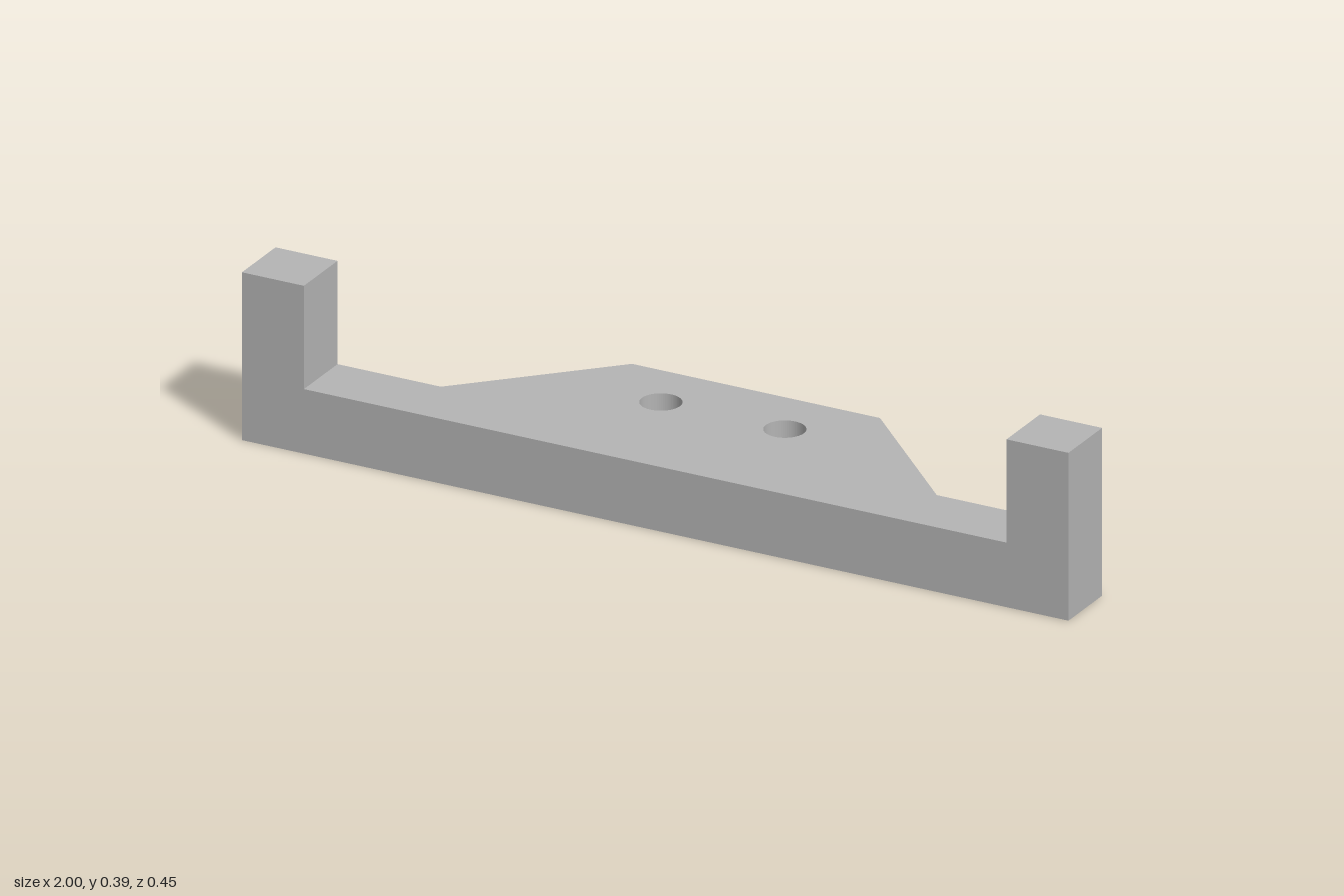
import * as THREE from 'three';

export function createModel() {
  const model = new THREE.Group();
  model.name = 'bracket';
  const grey = new THREE.MeshStandardMaterial({ name: 'plain grey', color: 0xb4b4b4 });

  const thickness = 0.15, height = 0.39, postSize = 0.15;
  const front = 0.225, barBack = 0.075;

  // Base plan, drawn with shape y pointing to the back
  const plan = new THREE.Shape([
    [-1, -front], [1, -front], [1, -barBack], [0.6, -barBack],
    [0.3, front], [-0.3, front], [-0.6, -barBack], [-1, -barBack],
  ].map(([x, y]) => new THREE.Vector2(x, y)));

  // Two screw holes through the rear tab
  for (const side of [-1, 1]) {
    plan.holes.push(new THREE.Path().absarc(side * 0.15, 0.077, 0.046, 0, Math.PI * 2, true));
  }

  const baseGeometry = new THREE.ExtrudeGeometry(plan, {
    depth: thickness, bevelEnabled: false, curveSegments: 32,
  });
  baseGeometry.rotateX(-Math.PI / 2);
  const base = new THREE.Mesh(baseGeometry, grey);
  base.name = 'basePlate';
  model.add(base);

  // Upright posts at both ends
  const postGeometry = new THREE.BoxGeometry(postSize, height - thickness, front - barBack);
  for (const side of [-1, 1]) {
    const post = new THREE.Mesh(postGeometry, grey);
    post.name = side > 0 ? 'leftPost' : 'rightPost';
    post.position.set(side * (1 - postSize / 2), (height + thickness) / 2, (front + barBack) / 2);
    model.add(post);
  }

  return model;
}
